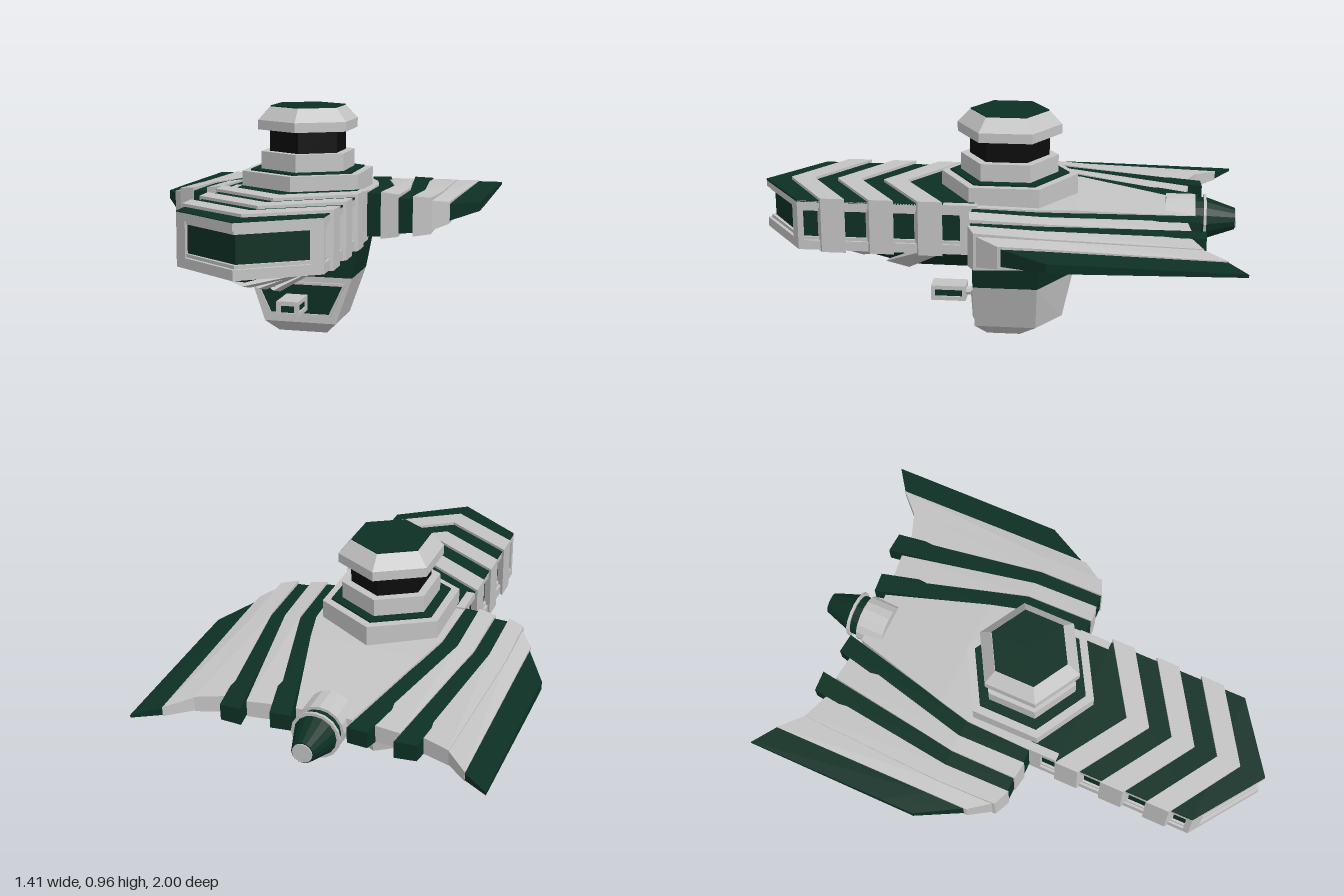
import * as THREE from 'three';

const grey = new THREE.MeshStandardMaterial({ color: 0xc4c4c4 });
const green = new THREE.MeshStandardMaterial({ color: 0x0d3024 });
const black = new THREE.MeshStandardMaterial({ color: 0x0c0c0c });
grey.name = 'light grey plating';
green.name = 'dark green';
black.name = 'black glass';

export function createModel() {
  const model = new THREE.Group();
  model.name = 'starship';

  const add = (name, geo, mat, parent = model) => {
    const flat = geo.index ? geo.toNonIndexed() : geo;
    flat.computeVertexNormals();
    const mesh = new THREE.Mesh(flat, mat);
    mesh.name = name;
    parent.add(mesh);
    return mesh;
  };
  const box = (name, mat, w, h, d, x, y, z, parent) =>
    add(name, new THREE.BoxGeometry(w, h, d).translate(x, y, z), mat, parent);

  // Closed solid through matching loops of points; turned outward by its signed volume
  const loft = (loops) => {
    const tris = [], n = loops[0].length, last = loops[loops.length - 1];
    for (let i = 0; i < loops.length - 1; i++) {
      for (let j = 0; j < n; j++) {
        const k = (j + 1) % n, a = loops[i], b = loops[i + 1];
        tris.push([a[j], a[k], b[k]], [a[j], b[k], b[j]]);
      }
    }
    for (let j = 1; j < n - 1; j++) {
      tris.push([loops[0][0], loops[0][j + 1], loops[0][j]], [last[0], last[j], last[j + 1]]);
    }
    const v = (p) => new THREE.Vector3(...p);
    let volume = 0;
    for (const [a, b, c] of tris) volume += v(a).dot(v(b).cross(v(c)));
    const pos = tris.flatMap(([a, b, c]) => (volume > 0 ? [a, b, c] : [a, c, b])).flat();
    return new THREE.BufferGeometry().setAttribute('position', new THREE.Float32BufferAttribute(pos, 3));
  };

  // Upright prism from a plan outline of [x, z] points, with an optional hole
  const prism = (plan, y0, y1, hole) => {
    const pts = (list) => list.map(([x, z]) => new THREE.Vector2(x, -z));
    const shape = new THREE.Shape(pts(plan));
    if (hole) shape.holes.push(new THREE.Path(pts(hole)));
    return new THREE.ExtrudeGeometry(shape, { depth: y1 - y0, bevelEnabled: false })
      .rotateX(-Math.PI / 2).translate(0, y0, 0);
  };

  // ---- Nose: green core, grey rails and corner posts ----
  const nose = new THREE.Group();
  nose.name = 'nose';
  model.add(nose);
  const arrow = (w, back, front, tip) => [[-w, back], [w, back], [w, front], [0, tip], [-w, front]];
  add('noseCore', prism(arrow(0.265, 0.05, 0.785, 0.965), 0.425, 0.615), green, nose);
  for (const [y0, y1] of [[0.415, 0.455], [0.595, 0.625]]) {
    add('noseRail', prism(arrow(0.285, 0.06, 0.8, 1), y0, y1, arrow(0.25, 0.08, 0.775, 0.955)), grey, nose);
  }
  for (const [y0, y1] of [[0.45, 0.468], [0.58, 0.6]]) {
    add('noseInnerRail', prism(arrow(0.275, 0.07, 0.79, 0.983), y0, y1), grey, nose);
  }
  for (const s of [-1, 1]) {
    add('nosePost', prism([[s * 0.285, 0.775], [s * 0.285, 0.8], [s * 0.24, 0.831], [s * 0.24, 0.79]], 0.42, 0.62), grey, nose);
    box('noseRearPost', grey, 0.03, 0.2, 0.06, s * 0.27, 0.52, 0.1, nose);
  }
  add('noseTop', prism(arrow(0.285, 0.2, 0.8, 1), 0.62, 0.628), green, nose);
  box('noseTopRear', green, 0.5, 0.008, 0.15, 0, 0.624, 0.15, nose);

  // Raised chevron bands and the striped keel under them
  const keelY = (z) => Math.max(0.258, 0.412 - 0.25 * (1 - z));
  const keelLoop = (w, z, drop) => [
    [-w, 0.42, z], [0, keelY(z + 0.19) - drop, z + 0.19], [w, 0.42, z], [0, 0.43, z + 0.19],
  ];
  const keelStations = [0.8, 0.6, 0.4, 0.2, 0.02, -0.15];
  add('keel', loft(keelStations.map((z) => keelLoop(0.265, z, -0.005))), green, nose);
  for (const z of [0.2, 0.4, 0.6]) {
    const w = 0.297, t = 0.1;
    add('chevronBand', prism([[-w, z], [0, z + 0.19], [w, z], [w, z + t], [0, z + 0.19 + t], [-w, z + t]], 0.41, 0.64), grey, nose);
    add('keelRib', loft([keelLoop(0.288, z, 0.012), keelLoop(0.288, z + t, 0.012)]), grey, nose);
  }

  // ---- Central deck with a shallow keel ----
  const deck = [[0.09, 0.285, 0.618, 0.42, 0.41], [-0.2, 0.275, 0.612, 0.43, 0.36],
    [-0.34, 0.24, 0.605, 0.44, 0.345], [-0.78, 0.115, 0.557, 0.485, 0.462]];
  add('deck', loft(deck.map(([z, w, top, low, keel]) =>
    [[-w, top, z], [w, top, z], [w, low, z], [0, keel, z], [-w, low, z]])), grey);

  // ---- Wings: fanned strips; each station is [xIn, xOut, zIn, zOut, halfIn, halfOut] ----
  const strips = [
    ['wingStripeInner', green, [0.27, 0.347, 0.08, 0.08, 0.092, 0.088], [0.27, 0.347, -0.21, -0.21, 0.081, 0.077], [0.113, 0.197, -0.832, -0.84, 0.034, 0.034]],
    ['wingPanelInner', grey, [0.343, 0.415, 0.085, 0.075, 0.098, 0.088], [0.343, 0.412, -0.21, -0.21, 0.085, 0.077], [0.193, 0.312, -0.785, -0.8, 0.036, 0.034]],
    ['wingStripeOuter', green, [0.41, 0.48, 0.07, 0.07, 0.074, 0.07], [0.41, 0.48, -0.21, -0.21, 0.068, 0.064], [0.31, 0.397, -0.86, -0.855, 0.036, 0.034]],
    ['wingPanelOuter', grey, [0.475, 0.545, 0.075, 0.045, 0.084, 0.076], [0.475, 0.548, -0.21, -0.21, 0.071, 0.064], [0.395, 0.515, -0.795, -0.84, 0.036, 0.033]],
    ['wingEdge', grey, [0.54, 0.605, 0.04, -0.055, 0.064, 0.046], [0.545, 0.605, -0.21, -0.21, 0.058, 0.043], [0.51, 0.605, -0.835, -0.93, 0.03, 0.02]],
    ['wingBlade', green, [0.6, 0.705, -0.06, -0.25, 0.036, 0.018], [0.6, 0.705, -0.22, -0.4, 0.034, 0.017], [0.6, 0.705, -0.925, -1, 0.016, 0.006]],
  ];
  for (const s of [-1, 1]) {
    const wing = new THREE.Group();
    wing.name = s > 0 ? 'leftWing' : 'rightWing';
    model.add(wing);
    for (const [name, mat, ...stations] of strips) {
      const cy = 0.522;
      add(name, loft(stations.map(([xi, xo, zi, zo, hi, ho]) => [
        [s * xi, cy + hi, zi], [s * xo, cy + ho, zo], [s * xo, cy - ho, zo], [s * xi, cy - hi, zi],
      ])), mat, wing);
    }
  }

  // ---- Six-sided bridge tower ----
  const tower = new THREE.Group();
  tower.name = 'tower';
  model.add(tower);
  const tiers = [
    ['towerBase', grey, 0.287, 0.287, 0.56, 0.69],
    ['towerBaseTop', green, 0.25, 0.25, 0.688, 0.697],
    ['towerMiddle', grey, 0.205, 0.205, 0.69, 0.77],
    ['towerWindow', black, 0.167, 0.167, 0.765, 0.868],
    ['towerCap', grey, 0.218, 0.218, 0.862, 0.902],
    ['towerRoof', grey, 0.166, 0.218, 0.902, 0.957],
    ['towerRoofPanel', green, 0.164, 0.164, 0.955, 0.961],
  ];
  for (const [name, mat, rTop, rLow, y0, y1] of tiers) {
    add(name, new THREE.CylinderGeometry(rTop, rLow, y1 - y0, 6).translate(0, (y0 + y1) / 2, -0.045), mat, tower);
  }

  // ---- Green neck and grey pod below, pointed at the back ----
  const pod = new THREE.Group();
  pod.name = 'pod';
  model.add(pod);
  const podLoop = (y, w, front, corner, back) =>
    [[-w, y, front], [w, y, front], [w, y, corner], [0, y, back], [-w, y, corner]];
  add('neck', loft([podLoop(0.43, 0.255, 0.088, -0.2, -0.36), podLoop(0.34, 0.24, 0.088, -0.19, -0.342),
    podLoop(0.25, 0.224, 0.088, -0.18, -0.316)]), green, pod);
  add('podBody', loft([podLoop(0.25, 0.224, 0.088, -0.18, -0.316), podLoop(0.05, 0.155, 0.088, -0.17, -0.272),
    podLoop(0, 0.105, 0.04, -0.1, -0.18)]), grey, pod);
  const trapezoid = (top, low, y0, y1) => [[-low, y0], [low, y0], [top, y1], [-top, y1]].map((p) => new THREE.Vector2(...p));
  const frame = new THREE.Shape(trapezoid(0.198, 0.132, 0.078, 0.226));
  frame.holes.push(new THREE.Path(trapezoid(0.185, 0.126, 0.09, 0.215)));
  add('podFrame', new THREE.ExtrudeGeometry(frame, { depth: 0.012, bevelEnabled: false }).translate(0, 0, 0.086), grey, pod);
  add('podPanel', new THREE.ExtrudeGeometry(new THREE.Shape(trapezoid(0.188, 0.128, 0.086, 0.218)),
    { depth: 0.005, bevelEnabled: false }).translate(0, 0, 0.086), green, pod);

  // ---- Forward gun on the pod ----
  const gun = new THREE.Group();
  gun.name = 'gun';
  model.add(gun);
  box('gunCore', green, 0.074, 0.044, 0.13, 0, 0.15, 0.215, gun);
  for (const y of [0.126, 0.174]) box('gunPlate', grey, 0.09, 0.018, 0.15, 0, y, 0.215, gun);
  for (const s of [-1, 1]) {
    box('gunFrontPost', grey, 0.018, 0.06, 0.016, s * 0.038, 0.15, 0.281, gun);
    box('gunRearPost', grey, 0.018, 0.06, 0.016, s * 0.038, 0.15, 0.148, gun);
  }
  add('gunMount', new THREE.CylinderGeometry(0.02, 0.02, 0.06, 8).rotateX(Math.PI / 2).translate(0, 0.15, 0.115), grey, gun);

  // ---- Rear thruster ----
  const thruster = new THREE.Group();
  thruster.name = 'thruster';
  model.add(thruster);
  const rings = [
    ['thrusterCollar', grey, 0.098, 0.098, -0.7, -0.82],
    ['thrusterBand', green, 0.086, 0.086, -0.82, -0.855],
    ['thrusterRing', grey, 0.099, 0.099, -0.855, -0.866],
    ['thrusterCone', green, 0.086, 0.045, -0.866, -0.985],
    ['thrusterTip', grey, 0.04, 0.04, -0.98, -0.99],
  ];
  for (const [name, mat, r0, r1, z0, z1] of rings) {
    add(name, new THREE.CylinderGeometry(r0, r1, z0 - z1, 16).rotateX(Math.PI / 2)
      .translate(0, 0.515, (z0 + z1) / 2), mat, thruster);
  }
  return model;
}
